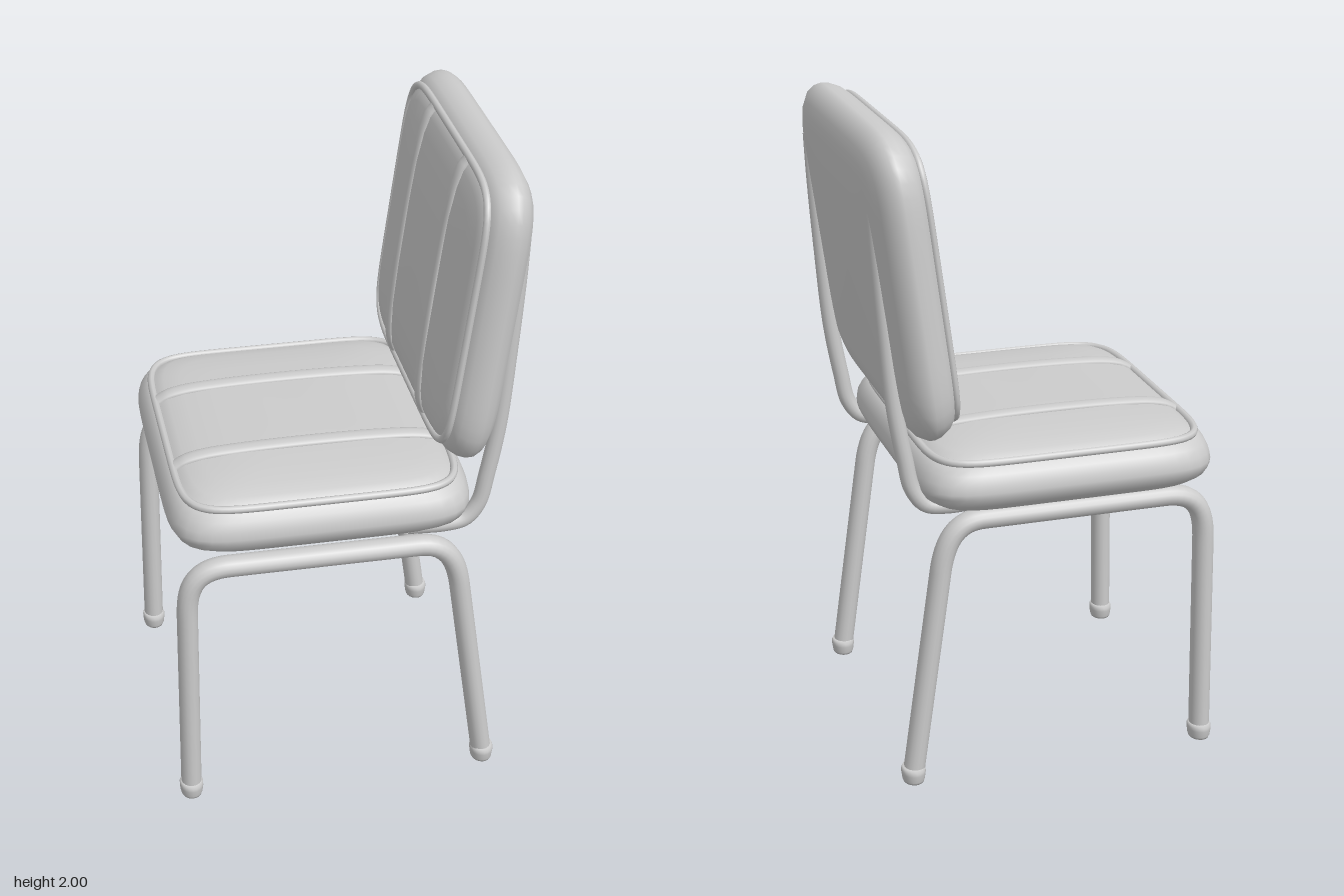
import * as THREE from 'three';

const material = new THREE.MeshStandardMaterial({ color: 0xcccccc, side: THREE.DoubleSide });
const HALF_L = 0.465, HALF_W = 0.52;

function addMesh(parent, name, geometry) {
  const mesh = new THREE.Mesh(geometry, material);
  mesh.name = name;
  parent.add(mesh);
  return mesh;
}

// Soft rectangle with slightly bowed sides
function outline(angle, inset, y) {
  const c = Math.cos(angle), s = Math.sin(angle), n = 7;
  const r = 1 / Math.pow(Math.abs(c) ** n + Math.abs(s) ** n, 1 / n);
  return new THREE.Vector3(r * c * (HALF_L - inset), y, r * s * (HALF_W - inset));
}

// Lofted shell from [inset, height] rows, bottom to top; null inset closes at the centre
function loft(rows, segments = 96) {
  const positions = [], index = [];
  rows.forEach(([inset, y], i) => {
    for (let j = 0; j < segments; j++) {
      const p = inset === null ? new THREE.Vector3(0, y, 0)
        : outline((j / segments) * Math.PI * 2, inset, y);
      positions.push(p.x, p.y, p.z);
      if (i === rows.length - 1) continue;
      const k = (j + 1) % segments;
      const a = i * segments + j, b = i * segments + k;
      index.push(a, a + segments, b, b, a + segments, b + segments);
    }
  });
  const geometry = new THREE.BufferGeometry();
  geometry.setAttribute('position', new THREE.Float32BufferAttribute(positions, 3));
  geometry.setIndex(index);
  geometry.computeVertexNormals();
  return geometry;
}

// Upholstered pad: rolled body, domed top panel, piping and two raised ribs
function createCushion(name) {
  const group = new THREE.Group();
  group.name = name;
  addMesh(group, name + 'Pad', loft([
    [null, -0.008], [0.25, -0.005], [0.12, 0], [0.08, 0.006], [0.045, 0.018], [0.015, 0.042],
    [0.002, 0.068], [0, 0.085], [0.004, 0.11], [0.016, 0.137], [0.032, 0.155], [0.045, 0.16],
    [0.058, 0.172], [0.08, 0.184], [0.13, 0.196], [0.22, 0.205], [0.35, 0.209], [null, 0.21],
  ]));

  const pipingPoints = [];
  for (let j = 0; j < 80; j++) pipingPoints.push(outline((j / 80) * Math.PI * 2, 0.043, 0.166));
  const pipingPath = new THREE.CatmullRomCurve3(pipingPoints, true);
  addMesh(group, name + 'Piping', new THREE.TubeGeometry(pipingPath, 160, 0.012, 8, true));

  const ribPath = new THREE.CatmullRomCurve3(
    [[-0.415, 0.165], [-0.385, 0.183], [-0.33, 0.196], [-0.22, 0.204], [0, 0.208],
      [0.22, 0.204], [0.33, 0.196], [0.385, 0.183], [0.415, 0.165]]
      .map(([x, y]) => new THREE.Vector3(x, y, 0)));
  for (const side of [-1, 1]) {
    const rib = addMesh(group, name + 'Rib', new THREE.TubeGeometry(ribPath, 40, 0.013, 12));
    rib.scale.z = 2.2;
    rib.position.z = side * 0.2;
  }
  return group;
}

// Bent tube frame for one side: front leg, rail under the seat, splayed rear leg
function createLegFrame() {
  const group = new THREE.Group();
  group.name = 'legFrame';
  const v = (x, y) => new THREE.Vector3(x, y, 0);
  const path = new THREE.CurvePath();
  path.add(new THREE.LineCurve3(v(-0.51, 0.02), v(-0.503, 0.68)));
  path.add(new THREE.CubicBezierCurve3(v(-0.503, 0.68), v(-0.502, 0.79), v(-0.47, 0.84), v(-0.37, 0.84)));
  path.add(new THREE.LineCurve3(v(-0.37, 0.84), v(0.2, 0.84)));
  path.add(new THREE.CubicBezierCurve3(v(0.2, 0.84), v(0.28, 0.84), v(0.318, 0.79), v(0.334, 0.69)));
  path.add(new THREE.LineCurve3(v(0.334, 0.69), v(0.428, 0.02)));
  addMesh(group, 'legTube', new THREE.TubeGeometry(path, 120, 0.032, 16)).scale.z = 1.16;

  // Rubber feet
  const profile = [[0, 0], [0.031, 0], [0.034, 0.008], [0.037, 0.03], [0.037, 0.04], [0.033, 0.05], [0, 0.052]]
    .map(([x, y]) => new THREE.Vector2(x, y));
  for (const x of [-0.51, 0.428]) {
    const foot = addMesh(group, 'foot', new THREE.LatheGeometry(profile, 20));
    foot.position.x = x;
    foot.scale.z = 1.22;
  }
  return group;
}

export function createModel() {
  const chair = new THREE.Group();
  chair.name = 'chair';

  const seat = createCushion('seat');
  seat.position.set(-0.075, 0.862, -0.005);
  chair.add(seat);

  // Backrest: the same pad, thinner, stood up and leaning back
  const backrest = createCushion('backrest');
  backrest.position.set(0.485, 1.53, -0.005);
  backrest.rotation.z = Math.PI / 2 - 0.135;
  backrest.scale.y = 0.92;
  chair.add(backrest);

  // Uprights rise from under the seat and sink into the back of the backrest
  const uprightPath = new THREE.CatmullRomCurve3(
    [[0.18, 0.872], [0.3, 0.868], [0.36, 0.88], [0.4, 0.93], [0.423, 1.03], [0.452, 1.2],
      [0.474, 1.45], [0.49, 1.68], [0.497, 1.83]]
      .map(([x, y]) => new THREE.Vector3(x, y, 0)));
  for (const side of [-1, 1]) {
    const frame = createLegFrame();
    frame.position.z = 0.02 + side * 0.46;
    chair.add(frame);
    const upright = addMesh(chair, 'backUpright', new THREE.TubeGeometry(uprightPath, 80, 0.025, 14));
    upright.position.z = 0.02 + side * 0.4;
  }
  return chair;
}
